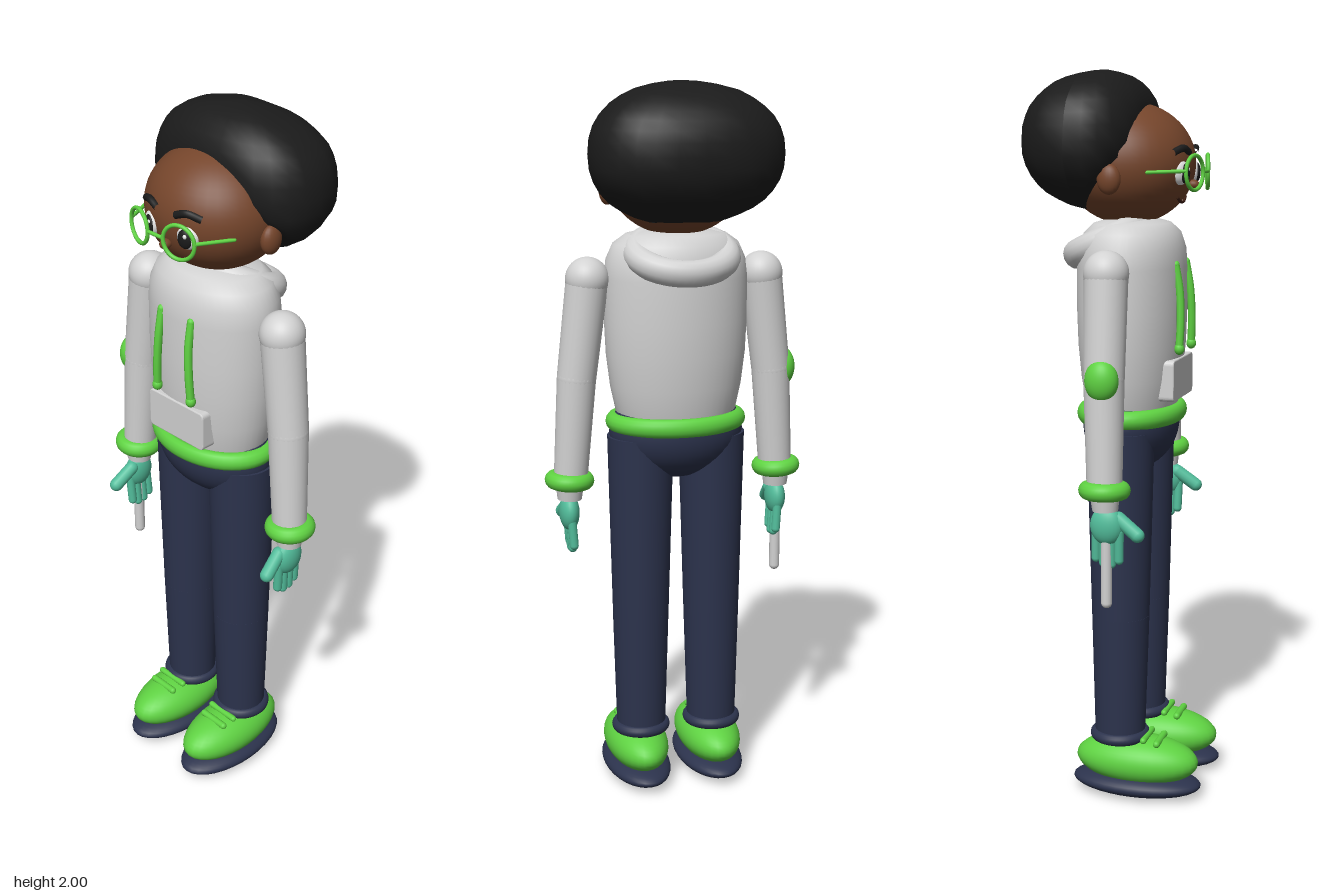
import * as THREE from 'three';

const mat = (name, color) => Object.assign(new THREE.MeshStandardMaterial({ color }), { name });
const V = (x, y, z) => new THREE.Vector3(x, y, z);

export function createModel() {
  const root = new THREE.Group();
  root.name = 'standingFigure';
  const skin = mat('brownSkin', 0x75452b), hairMat = mat('blackHair', 0x1b1b1b);
  const grey = mat('lightGreyFabric', 0xd2d2d2), green = mat('brightGreen', 0x5fd242);
  const navy = mat('navyFabric', 0x2c334d), teal = mat('tealGlove', 0x52bd9b);
  const white = mat('eyeWhite', 0xf2f2f2), lip = mat('darkLip', 0x3f1f14);

  const add = (name, geo, m, parent = root) => {
    const mesh = new THREE.Mesh(geo, m);
    mesh.name = name;
    parent.add(mesh);
    return mesh;
  };
  const ball = (name, m, p, r, parent, seg = 32) => {
    const mesh = add(name, new THREE.SphereGeometry(1, seg, seg * 0.75), m, parent);
    mesh.position.set(...p);
    mesh.scale.set(...r);
    return mesh;
  };
  // Tapered limb between two points
  const limb = (name, m, a, b, ra, rb, parent, seg = 24) => {
    const d = b.clone().sub(a);
    const mesh = add(name, new THREE.CylinderGeometry(rb, ra, d.length(), seg), m, parent);
    mesh.position.copy(a).addScaledVector(d, 0.5);
    mesh.quaternion.setFromUnitVectors(V(0, 1, 0), d.normalize());
    return mesh;
  };
  // Round-ended rod between two points
  const rod = (name, m, a, b, r, parent) => {
    const d = b.clone().sub(a);
    const mesh = add(name, new THREE.CapsuleGeometry(r, d.length(), 6, 14), m, parent);
    mesh.position.copy(a).addScaledVector(d, 0.5);
    mesh.quaternion.setFromUnitVectors(V(0, 1, 0), d.normalize());
    return mesh;
  };
  const tube = (name, m, pts, r, parent) =>
    add(name, new THREE.TubeGeometry(new THREE.CatmullRomCurve3(pts), 24, r, 8), m, parent);
  // Flat-lying ring stretched to an oval
  const ring = (name, m, p, rx, rz, t, parent) => {
    const geo = new THREE.TorusGeometry(1, t / rx, 14, 48).rotateX(Math.PI / 2);
    const mesh = add(name, geo, m, parent);
    mesh.position.set(...p);
    mesh.scale.set(rx, rx, rz);
    return mesh;
  };

  // Hoodie body
  const profile = [[0.15, 1.06], [0.168, 1.1], [0.185, 1.18], [0.196, 1.27], [0.2, 1.36], [0.2, 1.48],
    [0.194, 1.53], [0.175, 1.572], [0.14, 1.597], [0.08, 1.61], [0, 1.612]];
  const torso = add('hoodieBody', new THREE.LatheGeometry(profile.map(p => new THREE.Vector2(...p)), 48), grey);
  torso.scale.z = 0.73;
  torso.position.z = 0.03;
  ring('hemBand', green, [0, 1.08, 0.03], 0.173, 0.128, 0.026);
  const hood = ring('hood', grey, [0, 1.548, -0.03], 0.125, 0.105, 0.038);
  hood.rotation.x = -0.42;

  // Front pocket with softened corners
  const pocketShape = new THREE.Shape();
  const w = 0.1, h = 0.053, c = 0.012;
  pocketShape.moveTo(-w + c, -h).lineTo(w - c, -h).quadraticCurveTo(w, -h, w, -h + c)
    .lineTo(w, h - c).quadraticCurveTo(w, h, w - c, h).lineTo(-w + c, h)
    .quadraticCurveTo(-w, h, -w, h - c).lineTo(-w, -h + c).quadraticCurveTo(-w, -h, -w + c, -h);
  const pocket = add('frontPocket', new THREE.ExtrudeGeometry(pocketShape,
    { depth: 0.05, bevelSize: 0.003, bevelThickness: 0.003, bevelSegments: 2 }), grey);
  pocket.position.set(0, 1.18, 0.122);

  // Hips
  ball('hips', navy, [0, 1.05, 0.028], [0.19, 0.135, 0.128]);

  // Head
  ball('head', skin, [0, 1.755, 0.02], [0.19, 0.163, 0.18], root, 40);
  ball('nose', skin, [0, 1.7, 0.198], [0.014, 0.013, 0.018], root, 16);
  tube('mouth', lip, [V(-0.042, 1.667, 0.166), V(-0.02, 1.656, 0.168), V(0, 1.653, 0.168),
    V(0.02, 1.656, 0.168), V(0.042, 1.667, 0.166)], 0.004);

  // Rounded mass of hair, cut back in front of the face
  const hairGeo = new THREE.SphereGeometry(1, 28, 18);
  const hp = hairGeo.attributes.position;
  const soft = v => Math.sign(v) * Math.abs(v) ** 0.88;
  for (let i = 0; i < hp.count; i++) {
    const a = hp.getX(i), b = hp.getY(i), d = hp.getZ(i);
    const lump = 1 + 0.012 * Math.sin(a * 9 + 1) * Math.sin(b * 8) * Math.cos(d * 7);
    const x = 0.262 * soft(a) * lump;
    let z = -0.08 + 0.178 * soft(d) * lump;
    const y = 1.815 + 0.183 * soft(b) * lump + 0.13 * (Math.min(z, 0.05) + 0.08) * b;
    z = Math.min(z, 0.082 - Math.max(0, 1.79 - y) * 1.0 - Math.abs(x) ** 2 * 0.5);
    hp.setXYZ(i, x, y, z);
  }
  hairGeo.computeVertexNormals();
  add('hair', hairGeo, hairMat);

  // Glasses bridge
  rod('glassesBridge', green, V(-0.024, 1.735, 0.232), V(0.024, 1.735, 0.232), 0.005);

  for (const s of [-1, 1]) {
    const side = s > 0 ? 'left' : 'right';
    const g = new THREE.Group();
    g.name = side + 'Side';
    root.add(g);

    // Face details
    ball(side + 'Ear', skin, [s * 0.192, 1.718, 0.022], [0.022, 0.04, 0.032], g, 20);
    ball(side + 'EyeWhite', white, [s * 0.064, 1.733, 0.18], [0.031, 0.033, 0.018], g, 20).rotation.y = s * 0.35;
    ball(side + 'Pupil', hairMat, [s * 0.064, 1.731, 0.191], [0.021, 0.026, 0.011], g, 16).rotation.y = s * 0.35;
    ball(side + 'EyeGlint', white, [s * 0.064 + 0.007, 1.741, 0.2], [0.006, 0.006, 0.004], g, 10);
    tube(side + 'Eyebrow', hairMat, [V(s * 0.032, 1.785, 0.193), V(s * 0.065, 1.796, 0.187),
      V(s * 0.1, 1.784, 0.168)], 0.01, g);
    const rim = add(side + 'GlassesRim', new THREE.TorusGeometry(0.045, 0.0055, 8, 36), green, g);
    rim.position.set(s * 0.071, 1.733, 0.22);
    rim.rotation.y = s * 0.27;
    rod(side + 'GlassesTemple', green, V(s * 0.115, 1.738, 0.207), V(s * 0.158, 1.735, 0.115), 0.005, g);

    // Drawstring
    tube(side + 'Drawstring', green, [V(s * 0.055, 1.49, 0.166), V(s * 0.056, 1.42, 0.178),
      V(s * 0.06, 1.34, 0.182), V(s * 0.064, 1.265, 0.18)], 0.011, g);
    ball(side + 'DrawstringTop', green, [s * 0.055, 1.49, 0.166], [0.011, 0.011, 0.011], g, 12);
    ball(side + 'DrawstringTip', green, [s * 0.064, 1.265, 0.18], [0.014, 0.016, 0.014], g, 12);

    // Sleeve
    const shoulder = V(s * 0.247, 1.48, 0.032), elbow = V(s * 0.28, 1.21, 0.036), wrist = V(s * 0.3, 0.92, 0.043);
    ball(side + 'Shoulder', grey, shoulder.toArray(), [0.06, 0.06, 0.06], g);
    limb(side + 'UpperArm', grey, shoulder, elbow, 0.058, 0.054, g);
    ball(side + 'Elbow', grey, elbow.toArray(), [0.054, 0.054, 0.054], g);
    limb(side + 'Forearm', grey, elbow, wrist, 0.054, 0.047, g);
    ring(side + 'SleeveCuff', green, [s * 0.303, 0.92, 0.044], 0.045, 0.045, 0.024, g).rotation.z = s * 0.05;
    limb(side + 'Wrist', grey, V(s * 0.302, 0.925, 0.044), V(s * 0.303, 0.865, 0.046), 0.042, 0.034, g);

    // Gloved hand
    ball(side + 'Palm', teal, [s * 0.304, 0.825, 0.05], [0.028, 0.052, 0.045], g, 24);
    for (let i = 0; i < 4; i++) {
      const z = 0.019 + i * 0.021, tip = [0.735, 0.722, 0.72, 0.732][i];
      rod(side + 'Finger', teal, V(s * 0.303, 0.81, z + 0.002), V(s * 0.298, tip, z), 0.0125, g);
    }
    rod(side + 'Thumb', teal, V(s * 0.298, 0.845, 0.08), V(s * 0.307, 0.805, 0.135), 0.019, g);

    // Trouser leg
    const hip = V(s * 0.103, 1.04, 0.027), knee = V(s * 0.105, 0.52, 0.028), ankle = V(s * 0.106, 0.16, 0.027);
    limb(side + 'Thigh', navy, hip, knee, 0.093, 0.08, g, 32);
    limb(side + 'Shin', navy, knee, ankle, 0.08, 0.07, g, 32);
    ring(side + 'TrouserHem', navy, [s * 0.107, 0.172, 0.027], 0.068, 0.068, 0.016, g);

    // Shoe
    ball(side + 'Shoe', green, [s * 0.11, 0.102, 0.078], [0.088, 0.07, 0.176], g);
    ball(side + 'Sole', navy, [s * 0.11, 0.036, 0.077], [0.094, 0.036, 0.185], g);
    rod(side + 'Lace', green, V(s * 0.11 - 0.04, 0.164, 0.145), V(s * 0.11 + 0.04, 0.164, 0.145), 0.01, g);
    rod(side + 'Lace', green, V(s * 0.11 - 0.045, 0.172, 0.108), V(s * 0.11 + 0.045, 0.172, 0.108), 0.009, g);
  }

  // Elbow patch and hand-held stick on the right arm
  ball('elbowPatch', green, [-0.315, 1.21, 0.04], [0.036, 0.056, 0.045]);
  rod('stick', grey, V(-0.306, 0.79, 0.05), V(-0.306, 0.615, 0.05), 0.015);

  return root;
}
